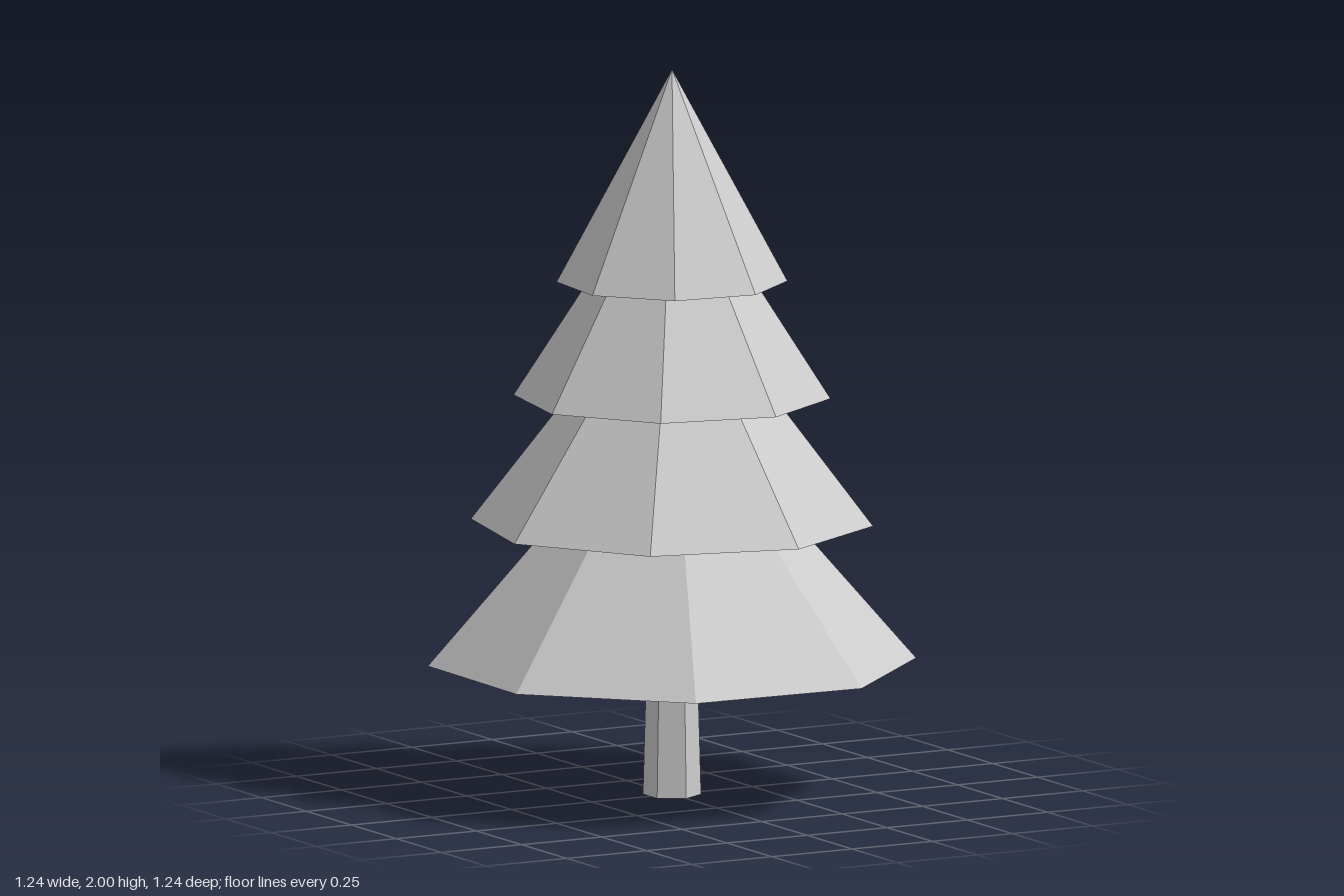
import * as THREE from 'three';

export function createModel() {
  const tree = new THREE.Group();
  tree.name = 'pineTree';

  const grey = new THREE.MeshStandardMaterial({ color: 0xcccccc, flatShading: true });
  grey.name = 'light grey';

  function add(name, geometry, y) {
    const mesh = new THREE.Mesh(geometry, grey);
    mesh.name = name;
    mesh.position.y = y;
    tree.add(mesh);
  }

  // Tapered hexagonal trunk
  const trunkHeight = 0.37;
  add('trunk', new THREE.CylinderGeometry(0.069, 0.079, trunkHeight, 6), trunkHeight / 2);

  // Four stacked eight-sided cones, each twisted a little: base, tip, radius, twist in degrees
  const tiers = [
    ['bottomBranches', 0.365, 1.135, 0.667, 21.3],
    ['lowerBranches', 0.75, 1.465, 0.55, 9.5],
    ['upperBranches', 1.097, 1.77, 0.432, 11.6],
    ['topBranches', 1.415, 2, 0.314, 17.1],
  ];
  for (const [name, base, tip, radius, twist] of tiers) {
    const cone = new THREE.ConeGeometry(
      radius, tip - base, 8, 1, false, THREE.MathUtils.degToRad(twist));
    add(name, cone, (base + tip) / 2);
  }

  return tree;
}
